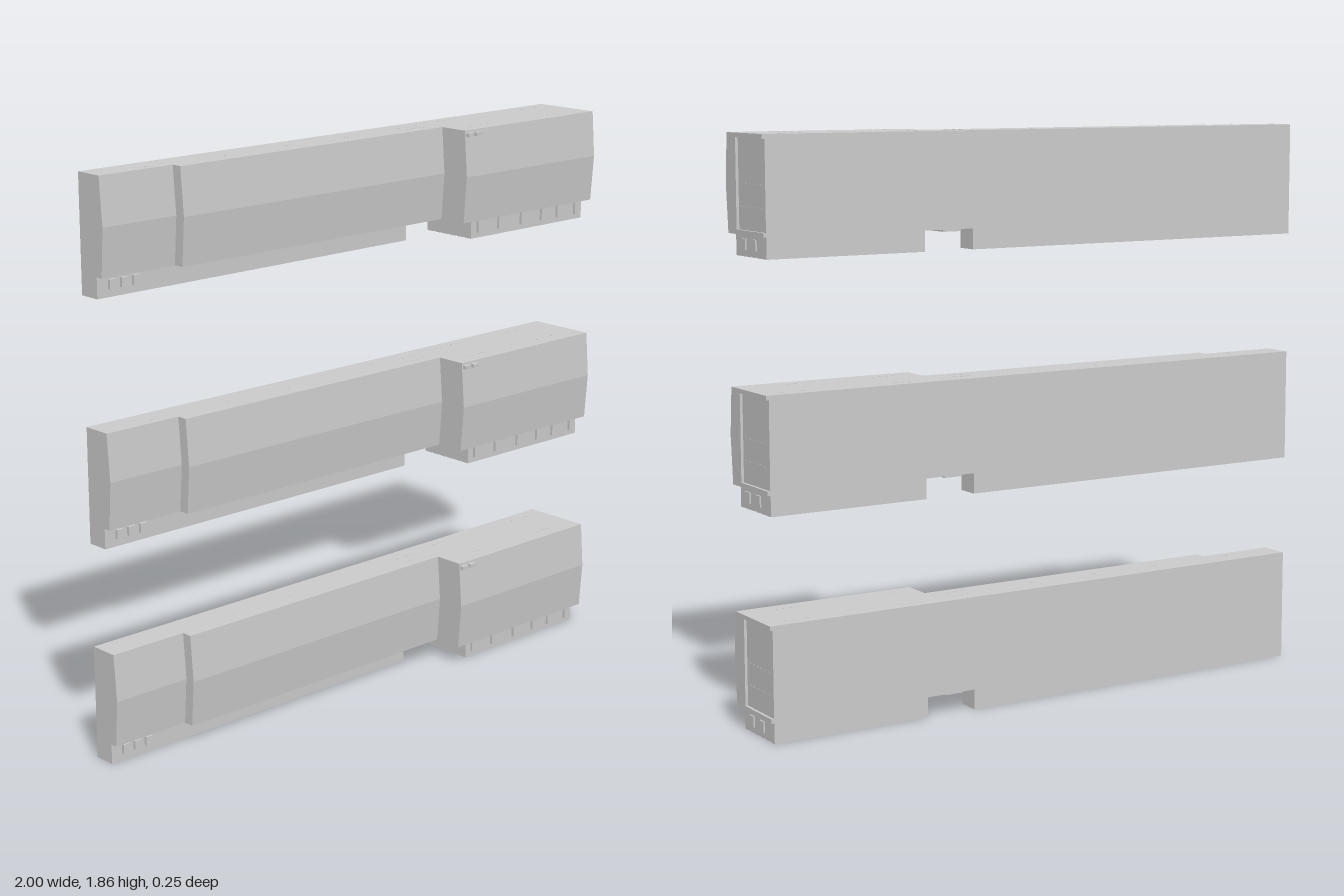
import * as THREE from 'three';

const material = new THREE.MeshStandardMaterial({ color: 0xcccccc, flatShading: true });
const BACK = -0.125, BASE = 0.066, TOP = 0.372, MID = 0.22;

function add(parent, name, geometry) {
  const mesh = new THREE.Mesh(geometry, material);
  mesh.name = name;
  parent.add(mesh);
  return mesh;
}

// Box given by its lower and upper limits on each axis
function box(parent, name, x0, x1, y0, y1, z0, z1) {
  const mesh = add(parent, name, new THREE.BoxGeometry(x1 - x0, y1 - y0, z1 - z0));
  mesh.position.set((x0 + x1) / 2, (y0 + y1) / 2, (z0 + z1) / 2);
  return mesh;
}

// Cross-section of [z, y] points swept from x0 to x1
function sweep(parent, name, points, x0, x1) {
  const shape = new THREE.Shape(points.map(([z, y]) => new THREE.Vector2(-z, y)));
  const geometry = new THREE.ExtrudeGeometry(shape, { depth: x1 - x0, bevelEnabled: false });
  geometry.rotateY(Math.PI / 2).translate(x0, 0, 0);
  return add(parent, name, geometry);
}

// Body section whose front bulges to a shallow ridge at mid height
const profile = (front) => [
  [BACK, BASE], [front - 0.012, BASE], [front, MID], [front - 0.012, TOP], [BACK, TOP],
];

function createUnit() {
  const unit = new THREE.Group();

  // Three stepped body sections
  sweep(unit, 'shallowBody', profile(-0.014), -1, -0.725);
  sweep(unit, 'middleBody', profile(0.022), -0.725, 0.375);
  sweep(unit, 'deepBody', profile(0.125), 0.375, 0.991);

  // End rim around a recessed panel that is open to the back
  sweep(unit, 'endRim', [
    [BACK, BASE], [0.113, BASE], [0.125, MID], [0.113, TOP], [BACK, TOP],
    [BACK, 0.358], [0.055, 0.358], [0.055, 0.08], [BACK, 0.08],
  ], 0.991, 1);

  // Rows of small slots on the end panel
  for (const y of [0.15, 0.22]) {
    for (let i = 0; i < 6; i++) {
      const z = -0.1 + i * 0.026;
      box(unit, 'endSlot', 0.99, 0.9925, y, y + 0.003, z, z + 0.009);
    }
  }

  // Lower plinths with a gap between them
  box(unit, 'longPlinth', -1, 0.27, 0, BASE, BACK, -0.05);
  box(unit, 'deepPlinth', 0.445, 0.99, 0.003, BASE, BACK, 0.08);
  box(unit, 'gapPlate', 0.305, 0.37, 0.058, BASE, -0.11, -0.03);

  // Runners under the deep plinth
  for (let i = 0; i < 6; i++) {
    const z = BACK + i * 0.035;
    box(unit, 'runner', 0.445, 0.99, 0, 0.003, z, z + 0.03);
  }

  // Connectors on the plinth fronts
  for (const x of [0.47, 0.57, 0.68, 0.78, 0.86, 0.95]) {
    box(unit, 'connector', x, x + 0.025, 0.018, 0.06, 0.08, 0.089);
  }
  for (const x of [-0.96, -0.915, -0.87]) {
    box(unit, 'connector', x, x + 0.025, 0.025, 0.055, -0.05, -0.04);
  }

  // Connectors on the end of the deep plinth
  for (const z of [-0.06, 0.01]) {
    box(unit, 'endConnector', 0.99, 0.995, 0.02, 0.055, z, z + 0.03);
  }

  // Pair of catches high on the deep section
  for (const x of [0.38, 0.417]) {
    box(unit, 'catch', x, x + 0.027, 0.351, 0.363, 0.105, 0.127);
  }

  // Small fixings on the roof
  for (const [x, z] of [[-0.8, -0.06], [-0.5, -0.05], [-0.25, -0.05], [0, -0.05], [0.85, -0.08], [0.92, -0.08]]) {
    const fixing = add(unit, 'roofFixing', new THREE.CylinderGeometry(0.006, 0.006, 0.002, 10));
    fixing.position.set(x, TOP, z);
  }
  for (const [x, z] of [[0.25, -0.07], [0.25, -0.03], [0.45, -0.09], [0.45, 0.06], [0.8, 0.06]]) {
    for (let i = 0; i < 4; i++) {
      box(unit, 'roofSlot', x + i * 0.025, x + i * 0.025 + 0.01, TOP - 0.001, TOP + 0.001, z, z + 0.003);
    }
  }
  return unit;
}

export function createModel() {
  const model = new THREE.Group();
  model.name = 'stackedUnits';
  // Three identical units, one above the other
  ['lowerUnit', 'middleUnit', 'upperUnit'].forEach((name, i) => {
    const unit = createUnit();
    unit.name = name;
    unit.position.y = [0, 0.71, 1.49][i];
    model.add(unit);
  });
  return model;
}
